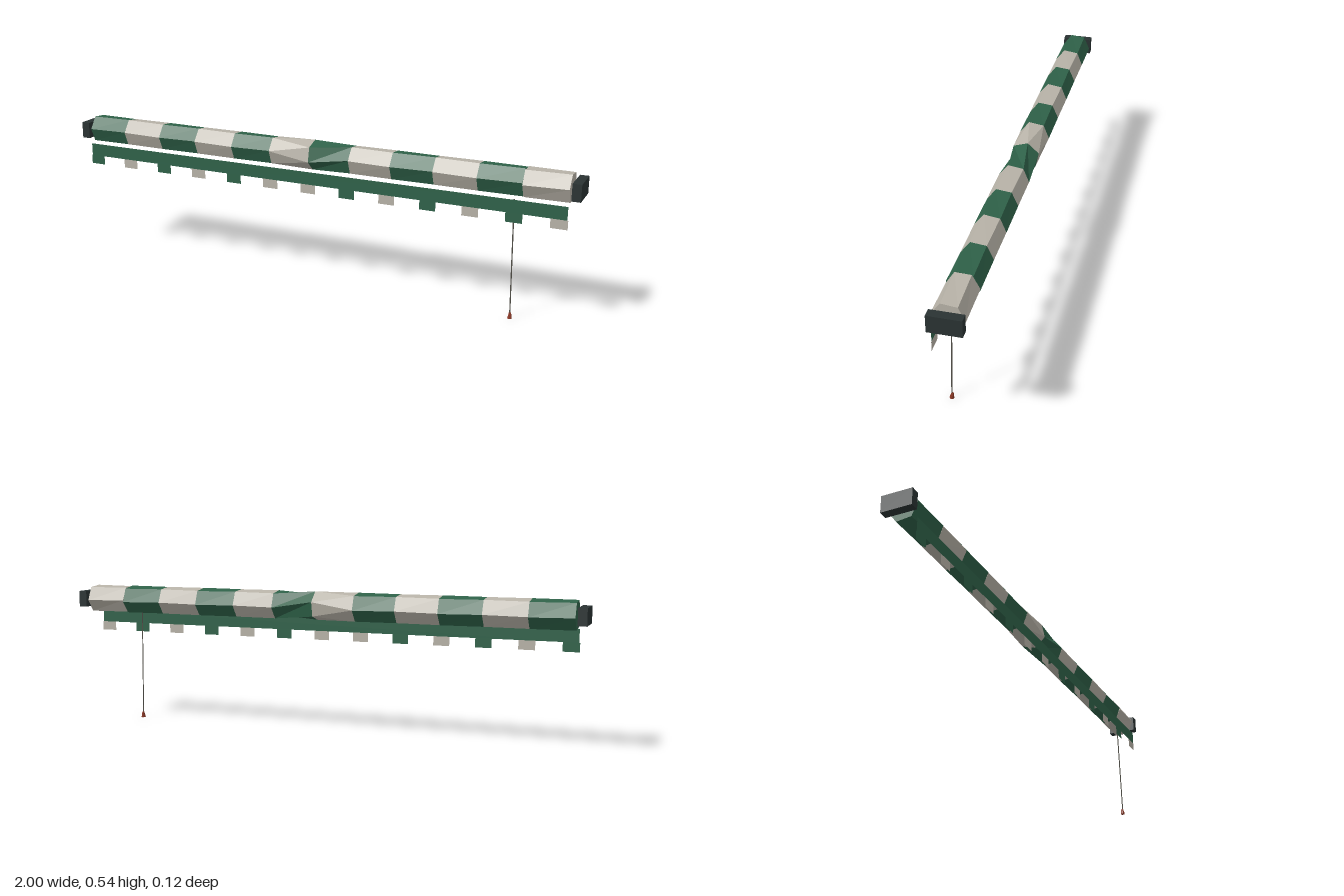
import * as THREE from 'three';

const mat = (color, side = THREE.FrontSide) =>
  new THREE.MeshStandardMaterial({ color, side, flatShading: true });

// Six-sided prism along x whose two ends may be turned differently (degrees)
function rollSegment(x0, x1, turn0, turn1, r) {
  const pos = [];
  const corner = (x, turn, k) => {
    const a = THREE.MathUtils.degToRad(turn + k * 60);
    return [x, r * Math.sin(a), r * Math.cos(a)];
  };
  for (let k = 0; k < 6; k++) {
    const a = corner(x0, turn0, k), b = corner(x1, turn1, k);
    const c = corner(x1, turn1, k + 1), d = corner(x0, turn0, k + 1);
    pos.push(...a, ...b, ...c, ...a, ...c, ...d);
    pos.push(x0, 0, 0, ...a, ...d, x1, 0, 0, ...c, ...b);
  }
  const g = new THREE.BufferGeometry();
  g.setAttribute('position', new THREE.Float32BufferAttribute(pos, 3));
  g.computeVertexNormals();
  return g;
}

export function createModel() {
  const model = new THREE.Group();
  const green = 0x2f6249, cream = 0xb9b4a9, dark = 0x2a3333;
  const stripes = [mat(green), mat(cream)];
  const cloth = [mat(green, THREE.DoubleSide), mat(cream, THREE.DoubleSide)];
  const add = (parent, name, geometry, material, x, y, z) => {
    const m = new THREE.Mesh(geometry, material);
    m.name = name;
    m.position.set(x, y, z);
    parent.add(m);
    return m;
  };

  // Rolled striped fabric, twisted a little in the middle
  const roll = new THREE.Group();
  roll.name = 'fabricRoll';
  roll.position.set(0, 0.49, -0.003);
  model.add(roll);
  for (let i = 0; i < 12; i++) {
    const x = -0.96 + i * 0.16;
    let t0 = i % 2 ? 8 : 6, t1 = i % 2 ? 6 : 9;
    if (i === 5) t1 = -18;
    if (i === 6) t0 = -18;
    if (i === 11) t0 = 2;
    add(roll, 'rollStripe', rollSegment(x, x + 0.16, t0, t1, 0.0555), stripes[i % 2], 0, 0, 0);
  }

  // End brackets
  for (const s of [-1, 1])
    add(model, 'endBracket', new THREE.BoxGeometry(0.032, 0.062, 0.114), mat(dark), s * 0.984, 0.489, -0.003);

  // Hanging valance strip with tabs
  add(model, 'valance', new THREE.PlaneGeometry(1.92, 0.048), cloth[0], 0, 0.413, 0.052);
  for (let i = 0; i < 13; i++) {
    const colour = i < 6 ? i % 2 : 1 - (i % 2);
    add(model, 'valanceTab', new THREE.PlaneGeometry(0.06, 0.034), cloth[colour], -0.933 + i * 0.1555, 0.372, 0.052);
  }

  // Pull rod with a small tapered handle
  const top = new THREE.Vector3(0.774, 0.437, 0.0445), end = new THREE.Vector3(0.785, 0.02, 0.0545);
  const dir = top.clone().sub(end);
  const turn = new THREE.Quaternion().setFromUnitVectors(new THREE.Vector3(0, 1, 0), dir.clone().normalize());
  const mid = top.clone().add(end).multiplyScalar(0.5);
  add(model, 'pullRod', new THREE.CylinderGeometry(0.0022, 0.0022, dir.length(), 4), mat(0x5a5850), mid.x, mid.y, mid.z)
    .quaternion.copy(turn);
  add(model, 'rodHandle', new THREE.CylinderGeometry(0.004, 0.0085, 0.022, 6), mat(0x8a3826), 0.785, 0.0125, 0.0535)
    .rotation.x = -0.12;
  return model;
}
